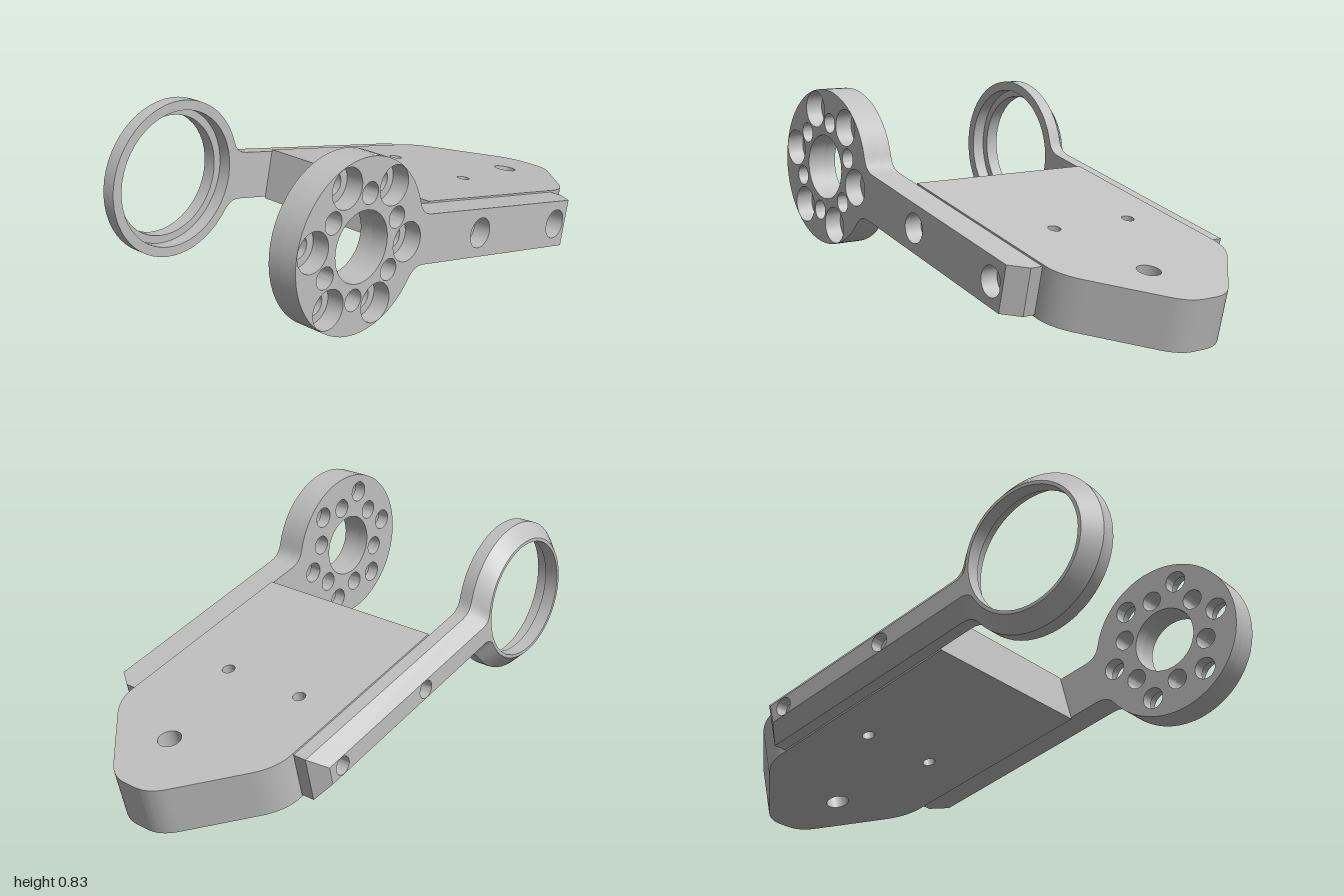
import * as THREE from 'three';
import { toCreasedNormals } from 'three/addons/utils/BufferGeometryUtils.js';

const TILT = THREE.MathUtils.degToRad(14);
const SCREWS = [0.67, 1.168]; // screw positions along the arms

const grey = new THREE.MeshStandardMaterial({ color: 0xc0c0c0, side: THREE.DoubleSide });
grey.name = 'light grey';

function part(name, geometry) {
  const mesh = new THREE.Mesh(toCreasedNormals(geometry, 0.5), grey);
  mesh.name = name;
  return mesh;
}

function hole(shape, x, y, r) {
  shape.holes.push(new THREE.Path().absarc(x, y, r, 0, Math.PI * 2, true));
}

// Outline of a ring with a filleted straight arm, counter-clockwise
function armOutline(R, h, end) {
  const a = Math.asin(h / R) + 0.15;
  const t = (R * Math.sin(a) - h) / Math.cos(a);
  const cu = R * Math.cos(a) + t * Math.sin(a);
  const fillet = new THREE.QuadraticBezierCurve(
    new THREE.Vector2(cu + t, h), new THREE.Vector2(cu, h),
    new THREE.Vector2(R * Math.cos(a), R * Math.sin(a))).getPoints(5);
  const pts = [new THREE.Vector2(end, -h), new THREE.Vector2(end, h), ...fillet];
  const n = 48;
  for (let i = 1; i < n; i++) {
    const q = a + (2 * Math.PI - 2 * a) * i / n;
    pts.push(new THREE.Vector2(R * Math.cos(q), R * Math.sin(q)));
  }
  for (const p of fillet.slice().reverse()) pts.push(new THREE.Vector2(p.x, -p.y));
  return pts;
}

// Walls through equal-length loops, given from low to high w
function loft(levels) {
  const pos = [], idx = [], n = levels[0].loop.length;
  for (const { loop, w } of levels) for (const p of loop) pos.push(p.x, p.y, w);
  for (let k = 0; k < levels.length - 1; k++) {
    for (let i = 0; i < n; i++) {
      const j = (i + 1) % n, a = k * n + i, b = k * n + j;
      idx.push(a, b, b + n, a, b + n, a + n);
    }
  }
  const g = new THREE.BufferGeometry();
  g.setAttribute('position', new THREE.Float32BufferAttribute(pos, 3));
  g.setIndex(idx);
  g.computeVertexNormals();
  return g;
}

// Lathe of [radius, w] points with its axis along w
function bore(points, u = 0) {
  const g = new THREE.LatheGeometry(points.map(p => new THREE.Vector2(...p)), 48);
  return g.rotateX(Math.PI / 2).translate(u, 0, 0);
}

// Tapered base plate with three through holes
function basePlate() {
  const s = new THREE.Shape();
  s.moveTo(-0.41, 0.485);
  s.lineTo(0.4, 0.485);
  s.lineTo(0.4, 1.30);
  s.quadraticCurveTo(0.4, 1.38, 0.33, 1.45);
  s.lineTo(0.135, 1.655);
  s.quadraticCurveTo(0.085, 1.708, 0.02, 1.708);
  s.lineTo(-0.03, 1.708);
  s.quadraticCurveTo(-0.095, 1.708, -0.145, 1.655);
  s.lineTo(-0.34, 1.45);
  s.quadraticCurveTo(-0.41, 1.38, -0.41, 1.30);
  hole(s, 0.05, 1.45, 0.045);
  for (const x of [-0.215, 0.145]) hole(s, x, 1.027, 0.025);
  const g = new THREE.ExtrudeGeometry(s, { depth: 0.2, bevelEnabled: false, curveSegments: 16 });
  return part('basePlate', g.rotateX(-Math.PI / 2).translate(0, -0.1, 0));
}

// One layer of the drilled hub arm, with a chosen size of bolt and screw holes
function hubLayer(name, w0, w1, boltR, screwR, chamfer) {
  const s = new THREE.Shape(armOutline(0.315, 0.093, 1.288));
  hole(s, 0, 0, 0.13);
  for (let i = 0; i < 6; i++) {
    const a = i * Math.PI / 3, b = a + Math.PI / 6;
    hole(s, 0.24 * Math.cos(a), 0.24 * Math.sin(a), boltR);
    hole(s, 0.187 * Math.cos(b), 0.187 * Math.sin(b), 0.04);
  }
  for (const u of SCREWS) hole(s, u, 0, screwR);
  const g = new THREE.ExtrudeGeometry(s, { depth: w1 - w0, bevelEnabled: false, curveSegments: 16 });
  g.translate(0, 0, w0);
  // Slope the end of the arm towards its outer face
  const p = g.attributes.position;
  for (let i = 0; i < p.count; i++) {
    if (p.getX(i) > 1.28 && p.getZ(i) > w1 - 0.001) p.setX(i, p.getX(i) - chamfer);
  }
  return part(name, g);
}

function hubArm() {
  const g = new THREE.Group();
  g.name = 'leftHubArm';
  g.add(hubLayer('hubInnerLayer', 0.398, 0.45, 0.043, 0.027, 0));
  g.add(hubLayer('hubOuterLayer', 0.45, 0.52, 0.073, 0.058, 0.05));
  return g;
}

// Open ring arm with a chamfer around its outer face
function ringArm() {
  const g = new THREE.Group();
  g.name = 'rightRingArm';
  const wIn = -0.41, wMid = -0.465, wOut = -0.52;
  const full = armOutline(0.303, 0.093, 1.288);
  const inset = armOutline(0.248, 0.038, 1.233);
  g.add(part('ringArmWalls', loft([
    { loop: inset, w: wOut }, { loop: full, w: wMid }, { loop: full, w: wIn }])));

  const inner = new THREE.Shape(full);
  hole(inner, 0, 0, 0.265);
  g.add(part('ringArmInnerFace', new THREE.ShapeGeometry(inner, 24).translate(0, 0, wIn)));

  const outer = new THREE.Shape(inset);
  hole(outer, 0, 0, 0.235);
  for (const u of SCREWS) hole(outer, u, 0, 0.036);
  g.add(part('ringArmOuterFace',
    new THREE.ShapeGeometry(outer, 24).rotateY(Math.PI).scale(-1, 1, 1).translate(0, 0, wOut)));

  // Stepped bore and screw recesses
  g.add(part('ringBore', bore([[0.265, wIn], [0.265, wMid], [0.235, wMid], [0.235, wOut]])));
  for (const u of SCREWS) {
    g.add(part('screwRecess', bore([[0, -0.47], [0.036, -0.47], [0.036, wOut]], u)));
  }
  return g;
}

export function createModel() {
  const model = new THREE.Group();
  model.name = 'hingeBracket';
  const body = new THREE.Group();
  body.name = 'tiltedBody';
  body.position.set(0, 0.515, 0.685);
  body.rotation.x = -TILT;

  const arms = new THREE.Group();
  arms.name = 'arms';
  arms.rotation.y = Math.PI / 2;
  arms.add(hubArm(), ringArm());

  body.add(basePlate(), arms);
  model.add(body);
  return model;
}
